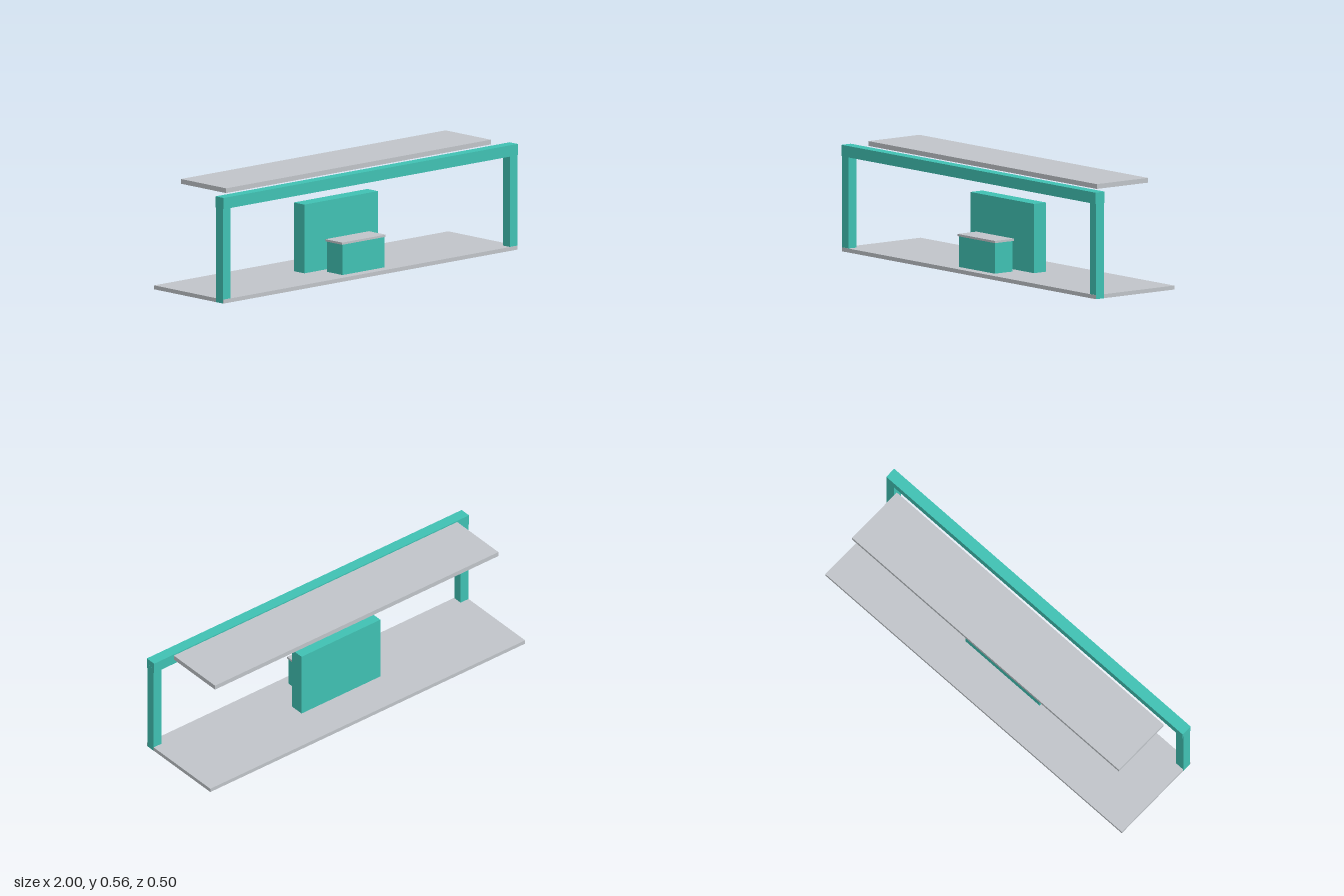
import * as THREE from 'three';

const teal = new THREE.MeshStandardMaterial({ color: 0x40c1b3 });
teal.name = 'teal';
const grey = new THREE.MeshStandardMaterial({ color: 0xc0c4c9 });
grey.name = 'light grey';

// Box given by its [min, max] range on each axis
function box(name, material, [x0, x1], [y0, y1], [z0, z1]) {
  const mesh = new THREE.Mesh(new THREE.BoxGeometry(x1 - x0, y1 - y0, z1 - z0), material);
  mesh.position.set((x0 + x1) / 2, (y0 + y1) / 2, (z0 + z1) / 2);
  mesh.name = name;
  return mesh;
}

export function createModel() {
  const model = new THREE.Group();
  model.name = 'pavilion';

  // Floor slab and floating roof panel
  model.add(box('floor', grey, [-1, 1], [0, 0.02], [-0.25, 0.25]));
  model.add(box('roof', grey, [-0.9, 0.9], [0.532, 0.556], [-0.163, 0.163]));

  // Front portal: two posts, barely proud of the floor ends, under a thicker beam
  const portal = new THREE.Group();
  portal.name = 'portal';
  portal.add(box('leftPost', teal, [0.95, 1.0005], [0, 0.5], [0.198, 0.248]));
  portal.add(box('rightPost', teal, [-1.0005, -0.95], [0, 0.5], [0.198, 0.248]));
  portal.add(box('beam', teal, [-1, 1], [0.477, 0.534], [0.194, 0.252]));
  model.add(portal);

  // Back wall behind the counter
  model.add(box('wall', teal, [-0.25, 0.25], [0.01, 0.367], [-0.038, 0.038]));

  // Counter with an overhanging top
  const counter = new THREE.Group();
  counter.name = 'counter';
  counter.add(box('counterBody', teal, [-0.142, 0.142], [0.01, 0.175], [0.087, 0.199]));
  counter.add(box('counterTop', grey, [-0.148, 0.148], [0.174, 0.185], [0.082, 0.203]));
  model.add(counter);

  return model;
}
